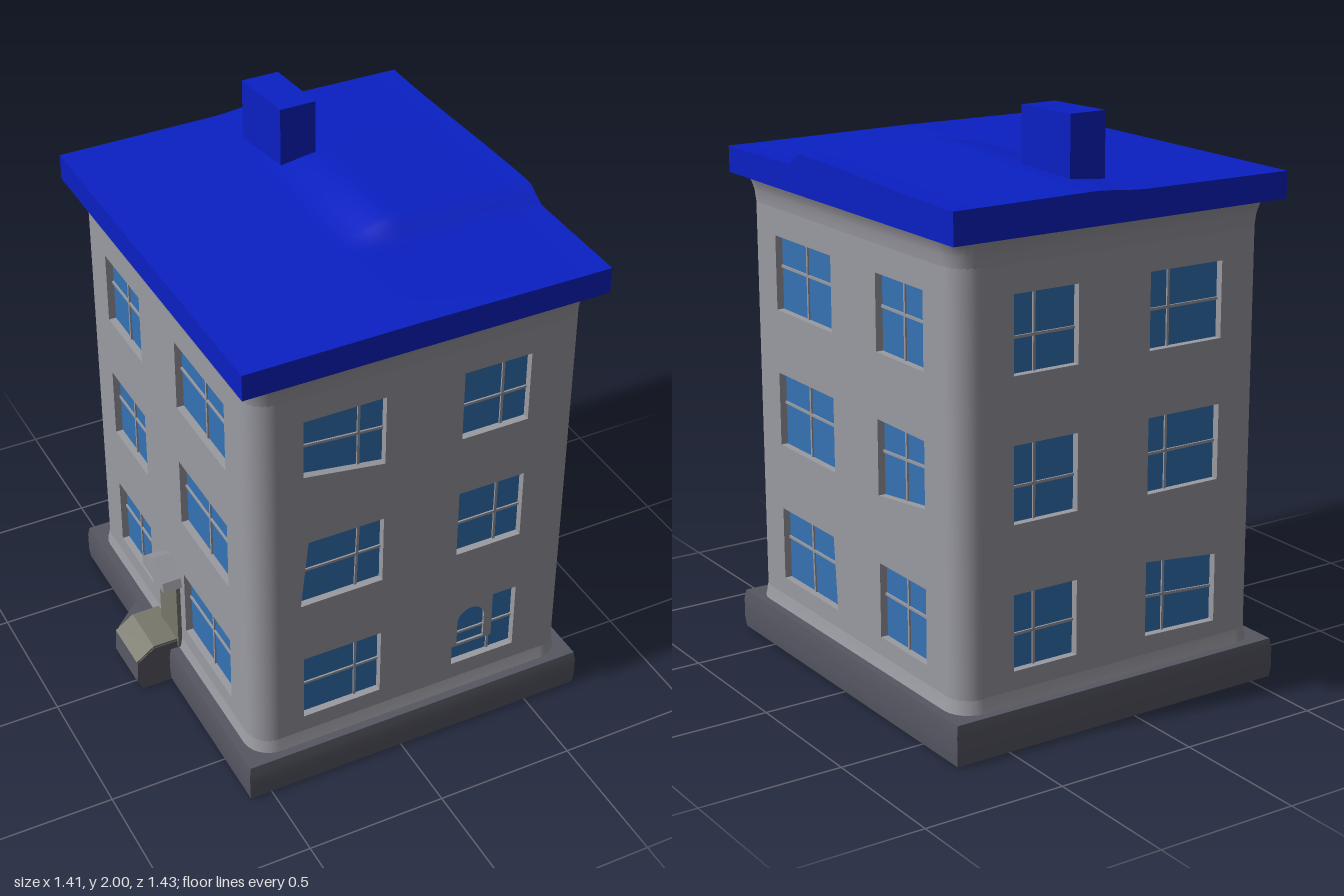
import * as THREE from 'three';

const mat = (name, color, side = THREE.FrontSide) => {
  const m = new THREE.MeshStandardMaterial({ color, side });
  m.name = name;
  return m;
};

export function createModel() {
  const wallMat = mat('grey plaster', 0x9a9aa2, THREE.DoubleSide);
  const roofMat = mat('blue roof', 0x0a20c4);
  const glassMat = mat('blue glass', 0x3472b4);
  const baseMat = mat('dark stone', 0x565762);
  const porchMat = mat('olive stone', 0x77776b);

  const house = new THREE.Group();
  house.name = 'house';
  const add = (parent, name, geo, material, x = 0, y = 0, z = 0) => {
    const mesh = new THREE.Mesh(geo, material);
    mesh.name = name;
    mesh.position.set(x, y, z);
    parent.add(mesh);
    return mesh;
  };
  const poly = (pts) => new THREE.Shape(pts.map(([x, y]) => new THREE.Vector2(x, y)));
  const extrude = (shape, depth) =>
    new THREE.ExtrudeGeometry(shape, { depth, bevelEnabled: false, curveSegments: 8 });

  // Main dimensions
  const CX = 0.0625, HX = 0.5975, HZ = 0.67, R = 0.085;
  const Y0 = 0.13, Y1 = 1.69, DEPTH = 0.03;
  const rows = [[0.255, 0.515], [0.75, 1.01], [1.235, 1.495]];

  // One wall with recessed windows; skews shift single window corners
  // (corner order: bottom left, bottom right, top right, top left)
  function wallSide(name, halfWidth, distance, angle, columns, skews = {}) {
    const side = new THREE.Group();
    side.name = name;
    const w = halfWidth - R;
    const wall = poly([[-w, Y0], [w, Y0], [w, Y1], [-w, Y1]]);
    rows.forEach(([b, t], r) => columns.forEach(([l, rt, barU, barV], c) => {
      const pts = [[l, b], [rt, b], [rt, t], [l, t]];
      (skews[`${r}${c}`] || []).forEach(([i, dx, dy]) => {
        pts[i][0] += dx;
        pts[i][1] += dy;
      });
      wall.holes.push(new THREE.Path(pts.map((p) => new THREE.Vector2(...p))));
      add(side, 'windowPane', new THREE.ShapeGeometry(poly(pts)), glassMat, 0, 0, distance - DEPTH + 0.004);
      // Glazing bars follow the skewed outline
      const mix = (p, q, k) => [p[0] + (q[0] - p[0]) * k, p[1] + (q[1] - p[1]) * k];
      const bar = (p, q) => {
        const mesh = add(side, 'glazingBar',
          new THREE.BoxGeometry(Math.hypot(q[0] - p[0], q[1] - p[1]), 0.009, 0.008),
          wallMat, (p[0] + q[0]) / 2, (p[1] + q[1]) / 2, distance - DEPTH + 0.006);
        mesh.rotation.z = Math.atan2(q[1] - p[1], q[0] - p[0]);
      };
      bar(mix(pts[0], pts[1], barU), mix(pts[3], pts[2], barU));
      bar(mix(pts[0], pts[3], barV), mix(pts[1], pts[2], barV));
    }));
    add(side, 'wall', extrude(wall, DEPTH), wallMat, 0, 0, distance - DEPTH);
    side.rotation.y = angle;
    side.position.x = CX;
    house.add(side);
    return side;
  }

  const frontCols = [[-0.42, -0.13, 0.7, 0.5], [0.15, 0.395, 0.63, 0.45]];
  const sideCols = [[-0.475, -0.1, 0.48, 0.58], [0.185, 0.47, 0.5, 0.57]];
  const mirror = (cols) => cols.map(([l, r, u, v]) => [-r, -l, 1 - u, v]).reverse();

  const front = wallSide('frontWall', HX, HZ, 0, frontCols,
    { 20: [[0, 0, 0.045]], 10: [[0, -0.01, 0], [3, 0.018, 0]] });
  wallSide('leftWall', HZ, HX, Math.PI / 2, sideCols,
    { 11: [[1, 0, 0.035]], '00': [[2, -0.02, 0]] });
  wallSide('backWall', HX, HZ, Math.PI, mirror(frontCols), { '01': [[1, 0, -0.01], [2, 0, -0.03]] });
  wallSide('rightWall', HZ, HX, -Math.PI / 2, mirror(sideCols));

  // Arched panel in the lower front window
  const panel = poly([[0.15, 0.315], [0.315, 0.315], [0.315, 0.515], [0.15, 0.515]]);
  const arch = new THREE.Path();
  arch.moveTo(0.178, 0.325);
  arch.lineTo(0.283, 0.325);
  arch.lineTo(0.283, 0.42);
  arch.absarc(0.2305, 0.42, 0.0525, 0, Math.PI, false);
  arch.lineTo(0.178, 0.325);
  panel.holes.push(arch);
  add(front, 'archedPanel', extrude(panel, 0.008), wallMat, 0, 0, HZ - DEPTH + 0.006);

  // Rounded wall corners
  for (const sx of [1, -1]) for (const sz of [1, -1]) {
    const start = Math.atan2(sx, sz) - Math.PI / 4;
    add(house, 'wallCorner',
      new THREE.CylinderGeometry(R, R, Y1 - Y0, 8, 1, true, start, Math.PI / 2),
      wallMat, CX + sx * (HX - R), (Y0 + Y1) / 2, sz * (HZ - R));
  }

  // Cove band: rounded rectangle swept through levels of [y, outward offset]
  function cove(name, levels) {
    const pos = [], index = [], n = 28;
    for (const [y, off] of levels) {
      for (let i = 0; i <= n; i++) {
        const k = i % n, q = Math.floor(k / 7);
        const a = (q + (k % 7) / 6) * Math.PI / 2;
        const sx = q === 0 || q === 3 ? 1 : -1, sz = q < 2 ? 1 : -1;
        pos.push(CX + sx * (HX - R) + Math.cos(a) * (R + off), y,
          sz * (HZ - R) + Math.sin(a) * (R + off));
      }
    }
    for (let j = 0; j < levels.length - 1; j++) for (let i = 0; i < n; i++) {
      const a = j * (n + 1) + i, b = a + n + 1;
      index.push(a, b, a + 1, b, b + 1, a + 1);
    }
    const g = new THREE.BufferGeometry();
    g.setAttribute('position', new THREE.Float32BufferAttribute(pos, 3));
    g.setIndex(index);
    g.computeVertexNormals();
    add(house, name, g, wallMat);
  }
  cove('topCove', [[1.59, 0], [1.63, 0.005], [1.66, 0.015], [1.69, 0.032]]);
  cove('bottomCove', [[0.13, 0.012], [0.16, 0.005], [0.19, 0]]);

  // Foundation slab with softened top edge
  const slab = new THREE.BoxGeometry(1.285, 0.14, 1.43, 1, 4, 1);
  const sp = slab.attributes.position;
  for (let i = 0; i < sp.count; i++) {
    const k = sp.getY(i) > 0.06 ? 0.992 : sp.getY(i) < -0.06 ? 0.994 : 1;
    sp.setX(i, sp.getX(i) * k);
    sp.setZ(i, sp.getZ(i) * k);
  }
  slab.computeVertexNormals();
  add(house, 'foundation', slab, baseMat, 0.06, 0.072, 0);

  // Roof slab with an uneven, partly raised top
  const ss = THREE.MathUtils.smoothstep;
  const roof = new THREE.BoxGeometry(1.285, 0.1, 1.43, 40, 1, 44);
  roof.translate(0.06, 1.73, 0);
  const rp = roof.attributes.position;
  for (let i = 0; i < rp.count; i++) {
    if (rp.getY(i) < 1.75) continue;
    const x = rp.getX(i), z = rp.getZ(i);
    const raised = ss(x, -0.02, 0.2) * (1 - ss(z, 0.21, 0.3)) * (1 - 0.65 * ss(-z, -0.25, 0.7));
    const crown = 0.02 * Math.max(0, 1 - Math.abs(x) / 0.6) * (1 - Math.abs(z) / 0.9);
    rp.setY(i, 1.772 + 0.045 * raised + crown);
  }
  roof.computeVertexNormals();
  add(house, 'roof', roof, roofMat);

  // Chimney, slightly skewed in plan
  const chimney = extrude(poly([[0.04, 0.29], [0.17, 0.29], [0.15, 0.53], [0.015, 0.53]]), 0.25);
  chimney.rotateX(-Math.PI / 2);
  add(house, 'chimney', chimney, roofMat, 0, 1.75, 0);

  // Side entrance: sloped porch block, olive tread, angled flank, door and canopy
  const porch = poly([[-0.5, 0], [-0.69, 0], [-0.71, 0.04], [-0.705, 0.125], [-0.64, 0.172], [-0.5, 0.172]]);
  add(house, 'porch', extrude(porch, 0.2), baseMat, 0, 0, -0.15);
  const tread = poly([[-0.5, 0.18], [-0.64, 0.18], [-0.708, 0.13], [-0.705, 0.122], [-0.64, 0.172], [-0.5, 0.172]]);
  add(house, 'porchTread', extrude(tread, 0.19), porchMat, 0, 0, -0.143);
  const flank = extrude(poly([[-0.5, 0.27], [-0.5, 0.1], [-0.7, 0.14], [-0.69, 0.155], [-0.595, 0.24]]), 0.135);
  flank.rotateX(-Math.PI / 2);
  add(house, 'porchFlank', flank, baseMat);
  add(house, 'sideDoor', new THREE.BoxGeometry(0.03, 0.28, 0.15), porchMat, -0.535, 0.29, -0.015);
  const canopy = extrude(
    poly([[-0.09, 0.44], [0.09, 0.44], [0.08, 0.475], [0.01, 0.54], [-0.09, 0.475]]), 0.09);
  canopy.rotateY(-Math.PI / 2);
  add(house, 'doorCanopy', canopy, wallMat, -0.515, 0, -0.01);

  return house;
}
